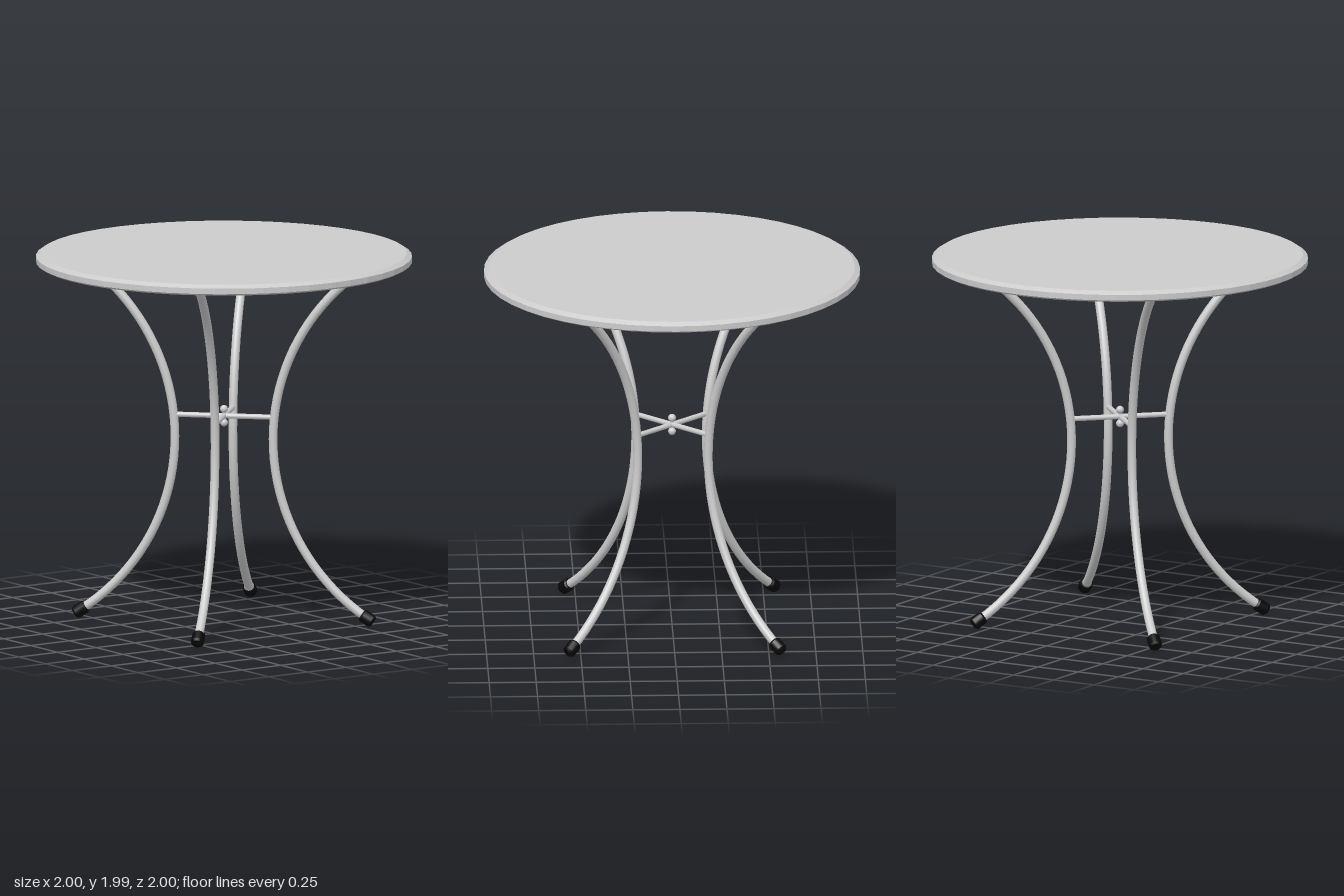
import * as THREE from 'three';
import { toCreasedNormals } from 'three/addons/utils/BufferGeometryUtils.js';

const WAIST = 0.265;      // radial distance of a leg at mid height
const ARC = 1.14;         // radius of the leg's bend
const BAR_Y = 1.12;

// Point on the leg's centre line, bowed in towards the middle at y = 1
function legPoint(y) {
  const dy = y - 1;
  return new THREE.Vector3(WAIST + ARC - Math.sqrt(ARC * ARC - dy * dy), y, 0);
}

class LegCurve extends THREE.Curve {
  getPoint(t, target = new THREE.Vector3()) {
    const a0 = Math.asin(-0.945 / ARC), a1 = Math.asin(0.948 / ARC);
    return target.copy(legPoint(1 + ARC * Math.sin(a0 + (a1 - a0) * t)));
  }
}

function lathe(points, segments) {
  return new THREE.LatheGeometry(points.map(([x, y]) => new THREE.Vector2(x, y)), segments);
}

export function createModel() {
  const model = new THREE.Group();
  const metal = new THREE.MeshStandardMaterial({ color: 0xcccccc });
  const rubber = new THREE.MeshStandardMaterial({ color: 0x080808 });

  const add = (parent, name, geometry, material) => {
    const mesh = new THREE.Mesh(geometry, material);
    mesh.name = name;
    parent.add(mesh);
    return mesh;
  };

  // Round top with a chamfered rim
  const topProfile = [[0, 1.942], [0.98, 1.942], [1, 1.953], [1, 1.983], [0.973, 2], [0, 2]];
  add(model, 'tableTop', toCreasedNormals(lathe(topProfile, 48), 0.1), metal);

  // Four bowed legs on the diagonals, each with a rubber foot
  const legGeometry = new THREE.TubeGeometry(new LegCurve(), 40, 0.0235, 16, false);
  const footGeometry = toCreasedNormals(
    lathe([[0, -0.037], [0.026, -0.037], [0.035, -0.026], [0.035, 0.028], [0.028, 0.037], [0, 0.037]], 20), 0.6);
  const footAt = legPoint(0.05);
  const footAxis = legPoint(0.06).sub(legPoint(0.04)).normalize();
  for (let i = 0; i < 4; i++) {
    const leg = new THREE.Group();
    leg.name = 'legAssembly';
    leg.rotation.y = Math.PI / 4 + i * Math.PI / 2;
    add(leg, 'leg', legGeometry, metal);
    const foot = add(leg, 'foot', footGeometry, rubber);
    foot.position.copy(footAt);
    foot.quaternion.setFromUnitVectors(new THREE.Vector3(0, 1, 0), footAxis);
    model.add(leg);
  }

  // Two crossing bars that tie opposite legs together
  const barGeometry = new THREE.CylinderGeometry(0.014, 0.014, 2 * WAIST, 14).rotateZ(Math.PI / 2);
  for (const side of [-1, 1]) {
    const bar = add(model, 'crossBar', barGeometry, metal);
    bar.position.y = BAR_Y;
    bar.rotation.y = side * Math.PI / 4;
  }

  // Bolt through the crossing with a round nut above and below
  add(model, 'bolt', new THREE.CylinderGeometry(0.01, 0.01, 0.07, 12), metal).position.y = BAR_Y;
  for (const dy of [-0.037, 0.037]) {
    add(model, 'nut', new THREE.SphereGeometry(0.021, 16, 12), metal).position.y = BAR_Y + dy;
  }

  return model;
}
